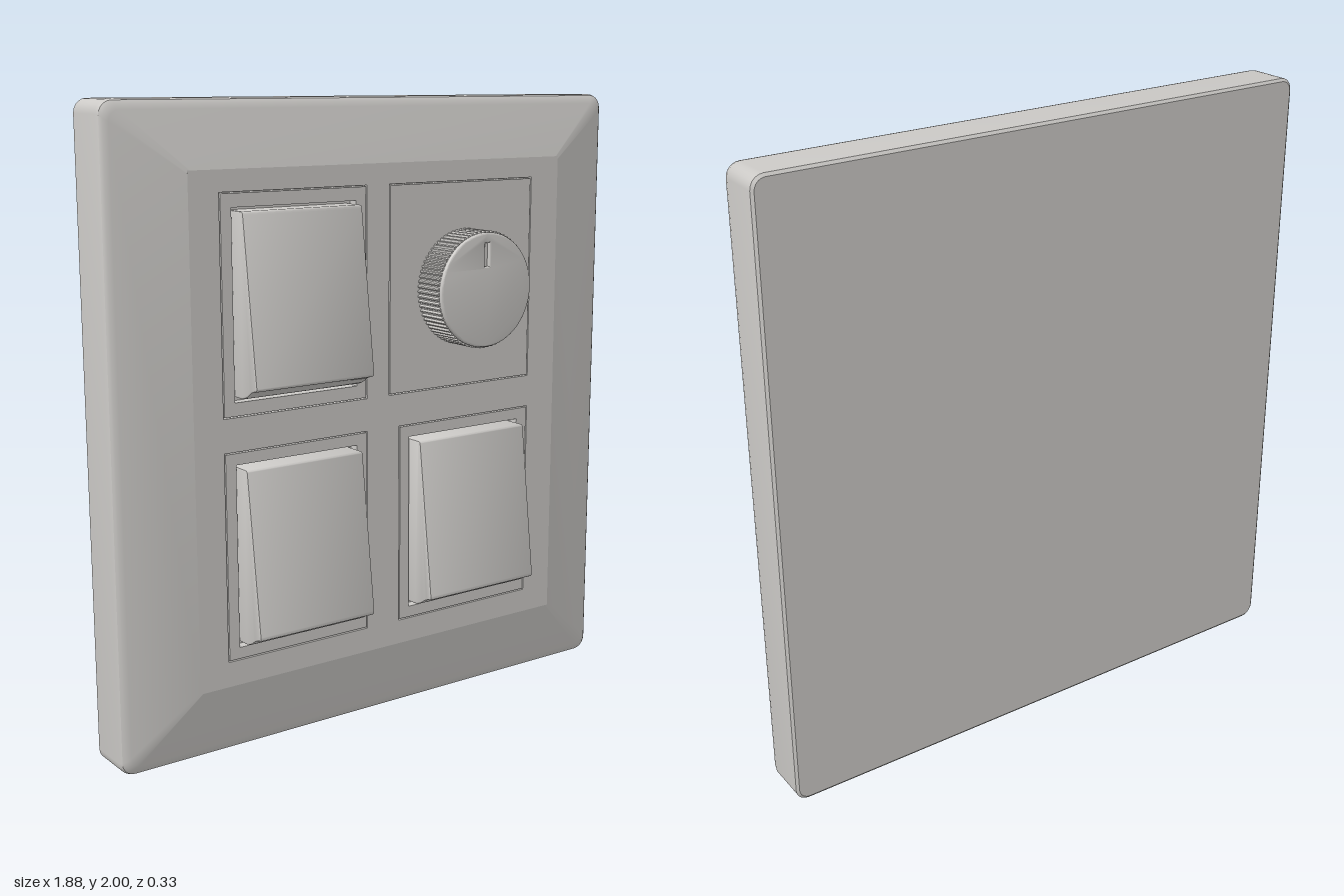
import * as THREE from 'three';
import { toCreasedNormals } from 'three/addons/utils/BufferGeometryUtils.js';

const FACE = 0.05; // z of the flat front face

const rectPath = (x0, x1, y0, y1, Type = THREE.Path) => {
  const p = new Type();
  p.moveTo(x0, y0).lineTo(x1, y0).lineTo(x1, y1).lineTo(x0, y1).closePath();
  return p;
};

// Ring of points for a rounded rectangle, counter-clockwise from the front
function ring([z, hw, y0, y1, r]) {
  const pts = [];
  const corners = [[hw - r, y1 - r], [-hw + r, y1 - r], [-hw + r, y0 + r], [hw - r, y0 + r]];
  corners.forEach(([cx, cy], c) => {
    for (let i = 0; i <= 5; i++) {
      const a = (c + i / 5) * Math.PI / 2;
      pts.push([cx + r * Math.cos(a), cy + r * Math.sin(a), z]);
    }
  });
  return pts;
}

// Skin over rounded-rectangle sections, closed at the back, open at the front
function loft(sections) {
  const rings = sections.map(ring);
  const n = rings[0].length;
  const pos = rings.flat(2);
  const index = [];
  for (let s = 0; s < rings.length - 1; s++) {
    for (let i = 0; i < n; i++) {
      const a = s * n + i, b = s * n + (i + 1) % n;
      index.push(a, b, b + n, a, b + n, a + n);
    }
  }
  const centre = pos.length / 3;
  pos.push(0, 1, sections[0][0]);
  for (let i = 0; i < n; i++) index.push(centre, (i + 1) % n, i);
  const g = new THREE.BufferGeometry();
  g.setAttribute('position', new THREE.Float32BufferAttribute(pos, 3));
  g.setIndex(index);
  return toCreasedNormals(g, 0.6);
}

export function createModel() {
  const model = new THREE.Group();
  model.name = 'wallSwitchPanel';
  const plastic = new THREE.MeshStandardMaterial({ color: 0xcbc9c6 });
  plastic.name = 'pale grey plastic';

  const add = (name, geometry, parent = model) => {
    const mesh = new THREE.Mesh(geometry, plastic);
    mesh.name = name;
    parent.add(mesh);
    return mesh;
  };
  const slab = (shape, z0, z1) =>
    new THREE.ExtrudeGeometry(shape, { depth: z1 - z0, bevelEnabled: false, curveSegments: 32 }).translate(0, 0, z0);

  // Backplate with softened rim and sloping border
  add('backplate', loft([
    [-0.167, 0.934, 0.009, 1.991, 0.035],
    [-0.160, 0.9425, 0, 2, 0.042],
    [-0.025, 0.9425, 0, 2, 0.042],
    [-0.010, 0.939, 0.004, 1.996, 0.042],
    [-0.002, 0.930, 0.014, 1.986, 0.038],
    [0.003, 0.915, 0.030, 1.970, 0.032],
    [FACE, 0.70, 0.23, 1.80, 0.01],
  ]));

  // Module openings: outline, and rocker opening where there is one
  const modules = [
    { name: 'upperRight', box: [-0.60, -0.08, 1.07, 1.735], rocker: [-0.555, -0.125, 1.12, 1.685] },
    { name: 'lowerRight', box: [-0.60, -0.08, 0.31, 0.965], rocker: [-0.555, -0.125, 0.355, 0.92] },
    { name: 'lowerLeft', box: [0.045, 0.585, 0.31, 0.965], rocker: [0.09, 0.535, 0.355, 0.92] },
    { name: 'dimmer', box: [0.005, 0.585, 1.07, 1.735] },
  ];
  const shrink = ([a, b, c, d], m) => [a + m, b - m, c + m, d - m];

  // Flat front face with a hole for each module, and the floor behind it
  const front = rectPath(-0.70, 0.70, 0.23, 1.80, THREE.Shape);
  modules.forEach(m => front.holes.push(rectPath(...m.box)));
  add('frontFace', slab(front, 0.015, FACE));
  add('recessFloor', slab(rectPath(-0.69, 0.69, 0.24, 1.79, THREE.Shape), 0.005, 0.018));

  // Rocker profile as (z, height), tilted forward at the bottom
  const rockerGeometry = ([x0, x1, y0, y1]) => {
    const h = y1 - y0;
    const s = new THREE.Shape();
    s.moveTo(0.012, 0.004);
    s.lineTo(0.07, 0.004);
    s.quadraticCurveTo(0.098, 0.008, 0.115, 0.022);
    s.quadraticCurveTo(0.13, 0.034, 0.152, 0.038);
    s.quadraticCurveTo(0.161, 0.04, 0.159, 0.052);
    s.lineTo(0.097, h - 0.010);
    s.quadraticCurveTo(0.096, h, 0.086, h);
    s.lineTo(0.012, h);
    s.closePath();
    const bevel = 0.006;
    const g = new THREE.ExtrudeGeometry(s, {
      depth: x1 - x0 - 2 * bevel, curveSegments: 6,
      bevelThickness: bevel, bevelSize: bevel, bevelOffset: -bevel, bevelSegments: 2,
    });
    g.rotateY(-Math.PI / 2).translate(x1 - bevel, y0, 0);
    return toCreasedNormals(g, 0.5);
  };

  for (const m of modules) {
    const group = new THREE.Group();
    group.name = m.name + 'Module';
    model.add(group);
    const frame = rectPath(...shrink(m.box, 0.004), THREE.Shape);
    if (m.rocker) frame.holes.push(rectPath(...shrink(m.rocker, -0.005)));
    add(m.name + 'Frame', slab(frame, 0.015, FACE), group);
    if (m.rocker) add(m.name + 'Rocker', rockerGeometry(shrink(m.rocker, 0.004)), group);
  }

  // Dimmer knob: ridged grip under a smooth cap with an indicator slot
  const knob = new THREE.Group();
  knob.name = 'dimmerKnob';
  knob.position.set(0.305, 1.395, 0);
  model.add(knob);
  const grip = new THREE.Shape();
  const steps = 72 * 4;
  for (let i = 0; i < steps; i++) {
    const a = i / steps * Math.PI * 2, r = i % 4 < 2 ? 0.188 : 0.182;
    grip[i ? 'lineTo' : 'moveTo'](r * Math.cos(a), r * Math.sin(a));
  }
  grip.closePath();
  add('knobGrip', slab(grip, 0.04, 0.154), knob);

  const cap = new THREE.Shape();
  cap.absarc(0, 0, 0.183, 0, Math.PI * 2);
  cap.holes.push(rectPath(-0.009, 0.009, 0.075, 0.15));
  const capGeometry = new THREE.ExtrudeGeometry(cap, {
    depth: 0.005, curveSegments: 48,
    bevelThickness: 0.006, bevelSize: 0.006, bevelOffset: -0.006, bevelSegments: 3,
  }).translate(0, 0, 0.156);
  add('knobCap', toCreasedNormals(capGeometry, 0.6), knob);

  return model;
}
